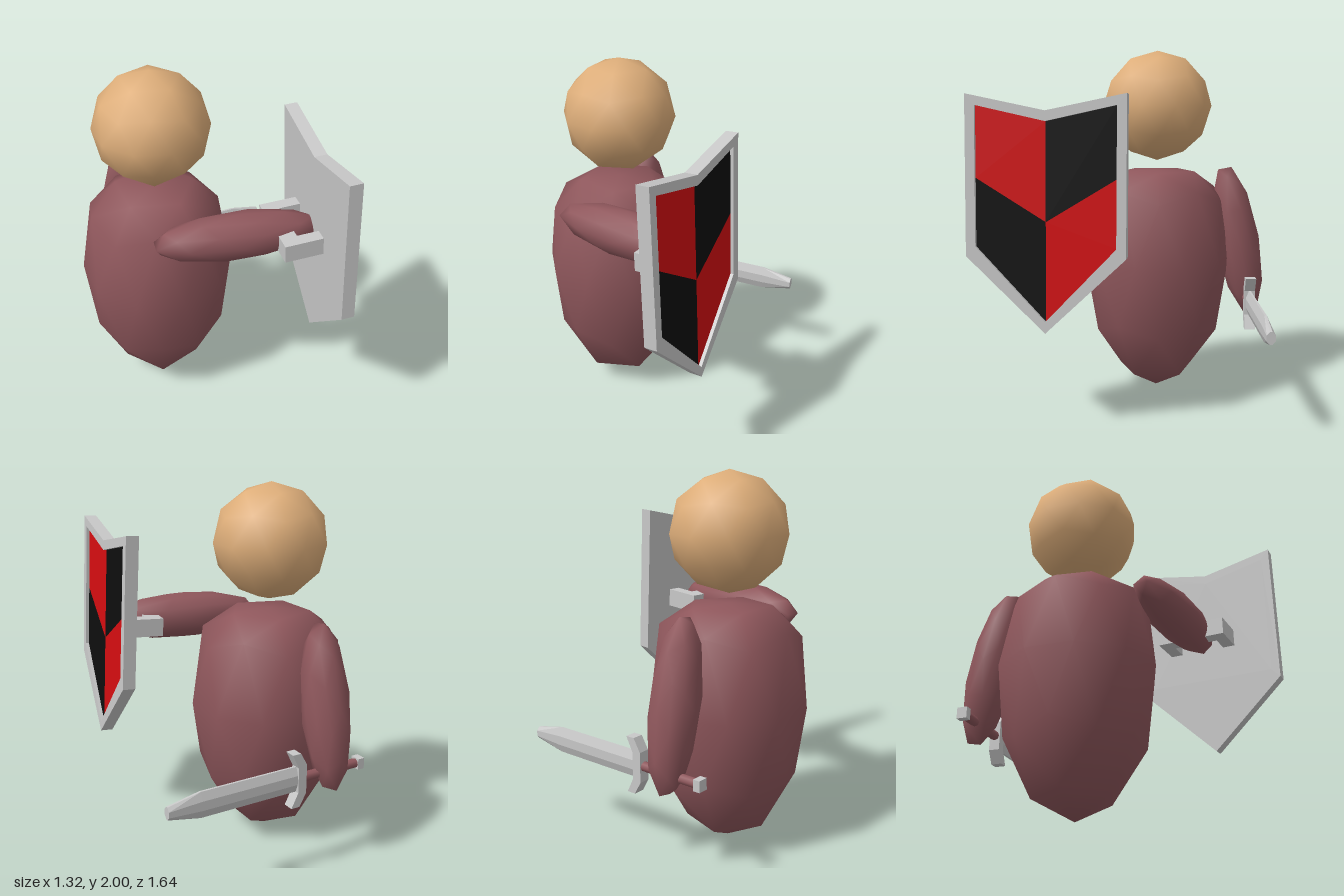
import * as THREE from 'three';
import { mergeVertices } from 'three/addons/utils/BufferGeometryUtils.js';
import { ConvexGeometry } from 'three/addons/geometries/ConvexGeometry.js';

const material = (name, color, flatShading = false) => {
  const m = new THREE.MeshStandardMaterial({ color, flatShading });
  m.name = name;
  return m;
};

// Unit icosphere with its poles on y; an optional rule moves its vertices
function blob(rule) {
  const g = new THREE.IcosahedronGeometry(1, 1);
  g.rotateZ(Math.atan(2 / (1 + Math.sqrt(5)))).rotateY(Math.PI);
  g.deleteAttribute('uv');
  g.deleteAttribute('normal');
  const merged = mergeVertices(g, 1e-3);
  const p = merged.attributes.position;
  if (rule) for (let i = 0; i < p.count; i++) p.setY(i, rule(p.getY(i)));
  merged.computeVertexNormals();
  return merged;
}

const polygon = (points) => new THREE.Shape(points.map(([x, y]) => new THREE.Vector2(x, y)));
const extrude = (shape, depth) => new THREE.ExtrudeGeometry(shape, { depth, bevelEnabled: false });

export function createModel() {
  const skin = material('tan', 0xdeae7a);
  const cloth = material('maroon', 0x8f575c);
  const silver = material('silver', 0xc8c8c8);
  const red = material('red', 0xd30d10);
  const black = material('black', 0x0e0e0e);

  const model = new THREE.Group();
  const add = (parent, name, geometry, mat, x = 0, y = 0, z = 0) => {
    const mesh = new THREE.Mesh(geometry, mat);
    mesh.name = name;
    mesh.position.set(x, y, z);
    parent.add(mesh);
    return mesh;
  };

  // Head and egg-shaped body with a flattened top
  add(model, 'head', blob(), skin, -0.255, 1.685, -0.18).scale.setScalar(0.315);
  const squash = (y) => (y > 0.95 ? 0.67 : y > 0.8 ? 0.655 : y);
  add(model, 'body', blob(squash), cloth, -0.255, 0.79, -0.18).scale.set(0.43, 0.79, 0.43);

  // Arms
  const leftArm = add(model, 'leftArm', blob(), cloth, 0.035, 1.21, 0.29);
  leftArm.scale.set(0.464, 0.132, 0.132);
  leftArm.rotation.y = -0.18;
  const rightArm = add(model, 'rightArm', blob(), cloth, -0.295, 0.885, -0.667);
  rightArm.scale.set(0.464, 0.13, 0.13);
  rightArm.rotation.set(0.19, 0, Math.PI / 2);

  // Shield, built facing +z from its back face
  const shield = new THREE.Group();
  shield.name = 'shield';
  shield.position.set(0.425, 1.1, 0.4);
  shield.rotation.set(-0.055, Math.PI / 2 - 0.12, 0, 'YXZ');
  model.add(shield);
  const outer = [[-0.413, 0.645], [-0.413, -0.18], [0, -0.57], [0.413, -0.18], [0.413, 0.645], [0, 0.56]];
  const inner = [[-0.363, 0.587], [-0.363, -0.13], [0, -0.51], [0.363, -0.13], [0.363, 0.587], [0, 0.507]];
  const rim = polygon(outer);
  rim.holes.push(polygon(inner));
  add(shield, 'shieldRim', extrude(rim, 0.07), silver);
  add(shield, 'shieldBack', extrude(polygon(inner), 0.045), silver);

  // Painted quarters
  for (const s of [-1, 1]) {
    const order = (pts) => polygon(pts.map(([x, y]) => [x * s, y]));
    const upper = order([[0, 0], [0.363, 0.22], [0.363, 0.587], [0, 0.507]]);
    const lower = order([[0, 0], [0, -0.51], [0.363, -0.13], [0.363, 0.22]]);
    add(shield, 'upperQuarter', extrude(upper, 0.005), s < 0 ? red : black, 0, 0, 0.046);
    add(shield, 'lowerQuarter', extrude(lower, 0.005), s < 0 ? black : red, 0, 0, 0.046);
  }

  // Handle behind the shield
  add(shield, 'handleBar', new THREE.BoxGeometry(0.4, 0.1, 0.09), silver, 0.045, 0.11, -0.165);
  for (const s of [-1, 1]) {
    add(shield, 'handlePost', new THREE.BoxGeometry(0.07, 0.1, 0.22), silver, 0.045 + s * 0.165, 0.11, -0.1);
  }

  // Sword pointing to +x
  const sword = new THREE.Group();
  sword.name = 'sword';
  sword.position.set(0, 0.55, -0.717);
  model.add(sword);
  const bladePoints = [];
  for (const [x, h, ridge] of [[-0.09, 0.07, 0.025], [0.48, 0.07, 0.025], [0.66, 0.034, 0.015]]) {
    for (const s of [-1, 1]) {
      for (const t of [-1, 1]) {
        bladePoints.push(new THREE.Vector3(x, s * h, t * 0.006), new THREE.Vector3(x, s * ridge, t * 0.023));
      }
    }
  }
  add(sword, 'blade', new ConvexGeometry(bladePoints), silver);

  // Guard with its ends swept towards the tip
  const guard = polygon([
    [-0.13, -0.08], [-0.09, -0.15], [-0.04, -0.15], [-0.08, -0.07],
    [-0.08, 0.07], [-0.04, 0.15], [-0.09, 0.15], [-0.13, 0.08],
  ]);
  add(sword, 'guard', extrude(guard, 0.06), silver, 0, 0, -0.03);

  // Grip and pommel
  const grip = new THREE.CylinderGeometry(0.026, 0.026, 0.36, 8).rotateZ(Math.PI / 2);
  add(sword, 'grip', grip, cloth, -0.3, 0, 0);
  add(sword, 'pommel', new THREE.BoxGeometry(0.04, 0.06, 0.056), silver, -0.49, 0, 0);

  return model;
}
